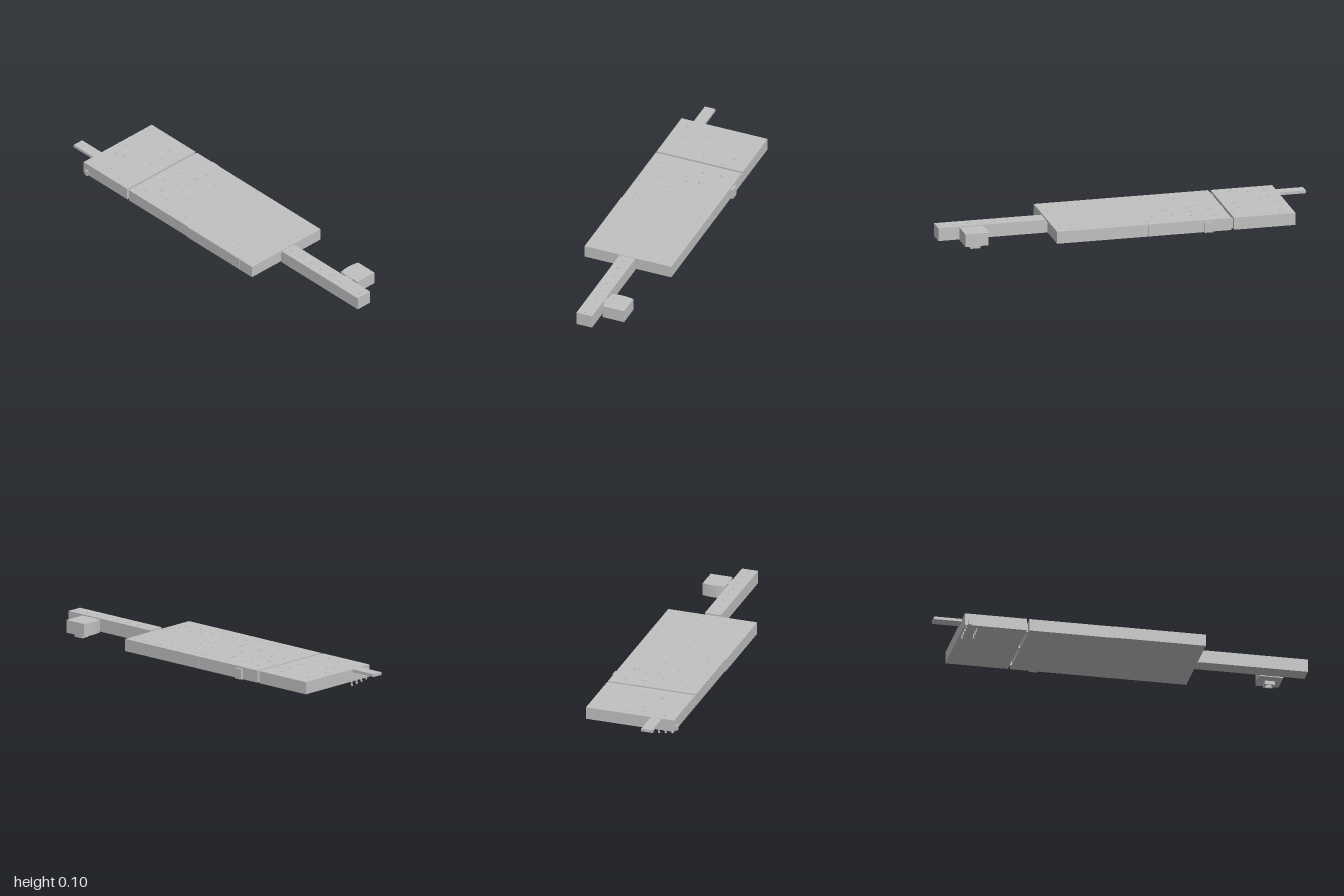
import * as THREE from 'three';

export function createModel() {
  const root = new THREE.Group();
  root.name = 'platform';
  const grey = new THREE.MeshStandardMaterial({ color: 0xc0c0c0 });
  grey.name = 'light grey';

  const add = (name, geometry, parent = root) => {
    const mesh = new THREE.Mesh(geometry, grey);
    mesh.name = name;
    parent.add(mesh);
    return mesh;
  };
  // Box given by its limits on each axis
  const box = (name, x0, x1, y0, y1, z0, z1, parent) => {
    const mesh = add(name, new THREE.BoxGeometry(x1 - x0, y1 - y0, z1 - z0), parent);
    mesh.position.set((x0 + x1) / 2, (y0 + y1) / 2, (z0 + z1) / 2);
    return mesh;
  };
  const group = (name) => {
    const g = new THREE.Group();
    g.name = name;
    root.add(g);
    return g;
  };

  // Main slabs, split by a narrow gap with couplers in it
  box('endSlab', -0.853, -0.525, 0.03, 0.095, -0.24, 0.243);
  box('mainSlab', -0.512, 0.418, 0.03, 0.095, -0.24, 0.243);
  for (const z of [-0.21, 0, 0.2]) box('coupler', -0.525, -0.512, 0.035, 0.083, z - 0.012, z + 0.012);

  // Front skin panels, with narrow seams between them
  box('frontPanel', -0.07, 0.322, 0.03, 0.094, 0.243, 0.247);
  box('cornerPanel', 0.326, 0.418, 0.03, 0.094, 0.243, 0.247);
  box('frontDoor', -0.835, -0.815, 0.03, 0.058, 0.243, 0.253);

  // Rear box and rear seam frame
  box('rearBox', -0.41, -0.365, 0.03, 0.085, -0.253, -0.24);
  box('rearSeam', -0.1, -0.07, 0.035, 0.085, -0.243, -0.24);

  // Tongue at one end, arm at the other
  box('tongue', -1, -0.853, 0.079, 0.094, 0.115, 0.175);
  box('armJoint', 0.418, 0.428, 0.03, 0.085, -0.04, 0.042);
  box('arm', 0.428, 1, 0.03, 0.1, -0.043, 0.045);

  // Side pod with one bowed wall
  const plan = new THREE.Shape();
  plan.moveTo(0.768, 0.055);
  plan.lineTo(0.89, 0.055);
  plan.lineTo(0.89, 0.176);
  plan.lineTo(0.768, 0.176);
  plan.quadraticCurveTo(0.752, 0.115, 0.768, 0.055);
  const podGeometry = new THREE.ExtrudeGeometry(plan, { depth: 0.068, bevelEnabled: false, curveSegments: 10 });
  podGeometry.rotateX(-Math.PI / 2);
  add('pod', podGeometry).position.y = 0.03;
  box('podLink', 0.805, 0.855, 0.035, 0.095, -0.056, -0.043);

  // Open frame under the pod
  const frame = group('podHatch');
  for (const x of [0.803, 0.847]) box('hatchSide', x, x + 0.009, 0.01, 0.03, -0.152, -0.104, frame);
  for (const z of [-0.152, -0.113]) box('hatchEnd', 0.812, 0.847, 0.01, 0.03, z, z + 0.009, frame);

  // Low studs over the slabs, as x, z pairs
  const studs = group('studs');
  const stud = new THREE.CylinderGeometry(0.011, 0.012, 0.004, 8);
  const spots = [
    [-0.8, -0.16], [-0.81, -0.03], [-0.79, 0.06], [-0.8, 0.18], [-0.745, 0.045], [-0.71, 0.17],
    [-0.62, -0.16], [-0.55, -0.115], [-0.594, -0.074], [-0.594, 0], [-0.61, 0.1], [-0.62, 0.2],
    [-0.45, -0.16], [-0.33, -0.15], [-0.344, -0.084], [-0.44, -0.06], [-0.45, 0.036], [-0.38, 0.02],
    [-0.336, -0.015], [-0.447, 0.18], [-0.39, 0.114], [-0.313, 0.15], [-0.25, 0.215], [-0.135, 0.19],
    [-0.257, 0.065], [-0.234, -0.115], [-0.21, -0.03],
  ];
  for (const [x, z] of spots) add('stud', stud, studs).position.set(x, 0.096, z);

  // Row of studs along the arm
  for (let i = 0; i < 8; i++) add('armStud', stud, studs).position.set(0.465 + i * 0.073, 0.101, 0.001);

  // Fine rivets framing and dotting the wide end of the main slab
  const rivets = group('rivets');
  const rivet = new THREE.BoxGeometry(0.006, 0.002, 0.006);
  const addRivet = (x, z) => add('rivet', rivet, rivets).position.set(x, 0.0955, z);
  for (let i = 0; i <= 20; i++) {
    for (const z of [-0.2, 0.16]) addRivet(-0.12 + i * 0.025, z);
  }
  for (let i = 1; i < 12; i++) {
    for (const x of [-0.12, 0.38]) addRivet(x, -0.2 + i * 0.03);
  }
  for (let i = 0; i < 6; i++) {
    for (let j = 0; j < 4; j++) addRivet(-0.05 + i * 0.075 + (j % 2) * 0.025, -0.14 + j * 0.08);
  }

  // Two slanting rows of small tilted nozzles under the end slab
  const nozzles = group('nozzles');
  const nozzle = new THREE.CylinderGeometry(0.004, 0.006, 0.012, 8);
  for (let i = 0; i < 7; i++) {
    const t = i / 6;
    const x = i % 2 ? -0.785 : -0.842;
    const z = 0.228 - t * 0.108;
    const y = 0.023 - t * 0.014;
    const tip = add('nozzle', nozzle, nozzles);
    tip.position.set(x, y, z);
    tip.rotation.x = i % 2 ? 0.5 : -0.5;
    box('nozzleStem', x - 0.003, x + 0.003, y, 0.031, z - 0.003, z + 0.003, nozzles);
  }
  return root;
}
